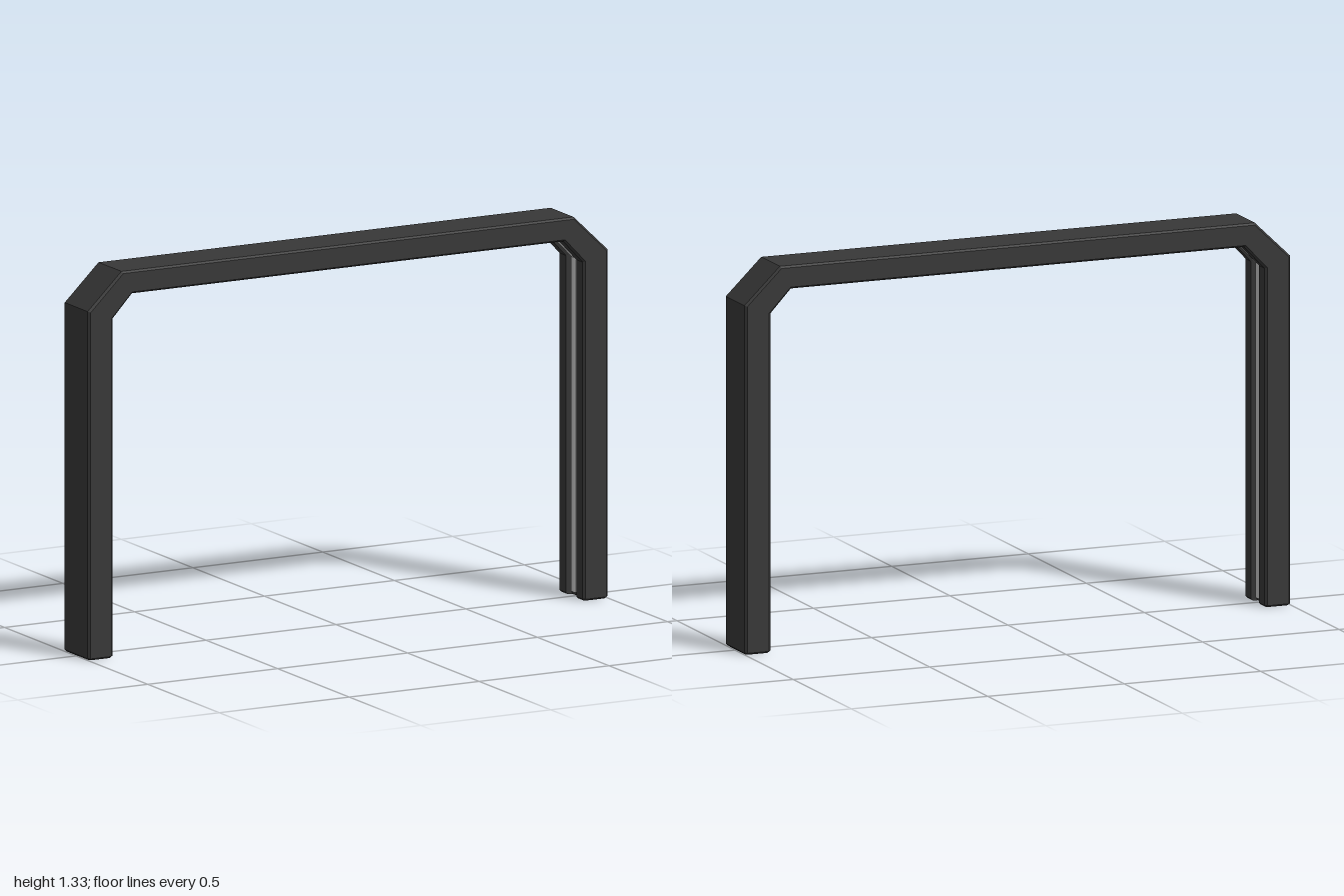
import * as THREE from 'three';

// Stations of the right half: [outer x, outer y, inner x, inner y], from foot to beam
const half = [
  [1, 0.006, 0.905, 0.006],
  [1, 1.205, 0.905, 1.17],
  [0.87, 1.33, 0.83, 1.25],
];

// Sweep a ring of [depth 0 outer..1 inner, z] along the stations and cap both feet
function sweep(ring, stations) {
  const n = ring.length;
  const rows = stations.map(([ox, oy, ix, iy, inset = 0]) => ring.map(([t, z]) => {
    const s = 0.5 + (t - 0.5) * (1 - inset * 2);
    return [ox + (ix - ox) * s, oy + (iy - oy) * s, z * (1 - inset)];
  }));
  const pos = [];
  const tri = (a, b, c) => pos.push(...a, ...b, ...c);
  for (let k = 0; k < rows.length - 1; k++) {
    for (let i = 0; i < n; i++) {
      const j = (i + 1) % n, a = rows[k], b = rows[k + 1];
      tri(a[i], a[j], b[j]);
      tri(a[i], b[j], b[i]);
    }
  }
  const flat = ring.map(([t, z]) => new THREE.Vector2((1 - t) * 0.095, -z));
  const last = rows[rows.length - 1];
  for (const [a, b, c] of THREE.ShapeUtils.triangulateShape(flat, [])) {
    tri(rows[0][a], rows[0][c], rows[0][b]);
    tri(last[a], last[b], last[c]);
  }
  const g = new THREE.BufferGeometry();
  g.setAttribute('position', new THREE.Float32BufferAttribute(pos, 3));
  g.computeVertexNormals();
  return g;
}

// Complete a half path with its mirror image
const mirrored = (list) => [
  ...list,
  ...list.slice().reverse().map(([ox, oy, ix, iy, inset]) => [-ox, oy, -ix, iy, inset]),
];

// Complete a half section (z < 0, outer to inner) with its mirror image
const section = (list) => [...list, ...list.slice().reverse().map(([t, z]) => [t, -z])];

export function createModel() {
  const group = new THREE.Group();
  group.name = 'archFrame';

  // Bevelled frame with a groove along its inner face
  const frameRing = section([
    [0, -0.08], [0.08, -0.088], [0.92, -0.088], [1, -0.08], [1, -0.036], [0.8, -0.03],
  ]);
  const foot = [1, 0, 0.905, 0, 0.06];
  const frame = new THREE.Mesh(
    sweep(frameRing, mirrored([foot, ...half])),
    new THREE.MeshStandardMaterial({ color: 0x383838 }),
  );
  frame.name = 'frame';
  group.add(frame);

  // Pale strip seated in the groove
  const stripRing = section([[0.78, -0.018], [0.9, -0.018], [0.95, -0.009]]);
  const strip = new THREE.Mesh(
    sweep(stripRing, mirrored([[1, 0.015, 0.905, 0.015], ...half.slice(1)])),
    new THREE.MeshStandardMaterial({ color: 0xcccccc }),
  );
  strip.name = 'innerStrip';
  group.add(strip);

  return group;
}
